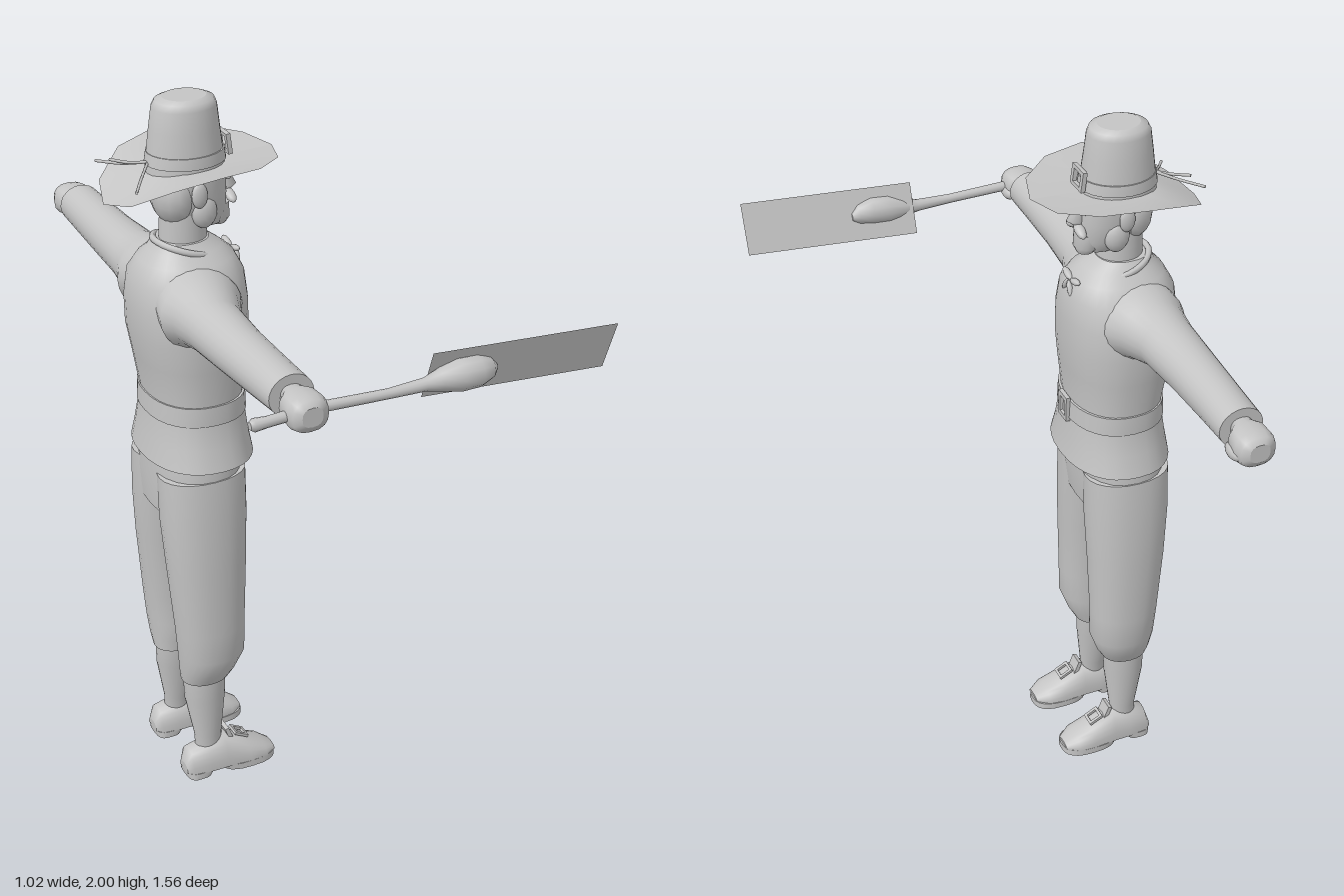
import * as THREE from 'three';

const grey = new THREE.MeshStandardMaterial({ color: 0xc4c4c4 });
grey.name = 'plain grey';
const greyThin = grey;
greyThin.side = THREE.DoubleSide;

// Loft of closed rings along an axis. Row: [w, uMin, uMax, vMin, vMax],
// with (u, v, w) = (z, x, y), (x, y, z) or (y, z, x). p < 1 squares the ring, flat gives a D-shape.
const ORDER = { y: [2, 0, 1], z: [0, 1, 2], x: [1, 2, 0] };
function loft(axis, rows, { n = 24, p = 1, flat = false } = {}) {
  const [iu, iv, iw] = ORDER[axis];
  const pos = [], index = [];
  const put = (u, v, w) => {
    const a = [0, 0, 0];
    a[iu] = u; a[iv] = v; a[iw] = w;
    pos.push(...a);
  };
  const pw = (t) => Math.sign(t) * Math.abs(t) ** p;
  const ring = ([w, u0, u1, v0, v1]) => {
    for (let i = 0; i < n; i++) {
      const t = (i / n) * Math.PI * 2, c = pw(Math.cos(t)), s = pw(Math.sin(t));
      const u = flat ? u0 + (u1 - u0) * Math.max(0, c) : (u0 + u1) / 2 + ((u1 - u0) / 2) * c;
      put(u, (v0 + v1) / 2 + ((v1 - v0) / 2) * s, w);
    }
  };
  rows.forEach(ring);
  for (let j = 0; j < rows.length - 1; j++)
    for (let i = 0; i < n; i++) {
      const a = j * n + i, b = j * n + (i + 1) % n;
      index.push(a, b, b + n, a, b + n, a + n);
    }
  // End caps keep their own vertices, so their rims stay sharp
  [rows[0], rows[rows.length - 1]].forEach((r, end) => {
    const base = pos.length / 3;
    ring(r);
    put((r[1] + r[2]) / 2, (r[3] + r[4]) / 2, r[0]);
    for (let i = 0; i < n; i++) {
      const a = base + i, b = base + (i + 1) % n;
      if (end) index.push(a, b, base + n); else index.push(b, a, base + n);
    }
  });
  const g = new THREE.BufferGeometry();
  g.setAttribute('position', new THREE.Float32BufferAttribute(pos, 3));
  g.setIndex(index);
  g.computeVertexNormals();
  return g;
}

// The same rows reflected in z
function mirrorRows(axis, rows) {
  if (axis === 'y') return rows.map(([w, a, b, c, d]) => [w, -b, -a, c, d]);
  if (axis === 'x') return rows.map(([w, a, b, c, d]) => [w, a, b, -d, -c]);
  return rows.map(([w, ...r]) => [-w, ...r]).reverse();
}

// Square buckle frame with a tongue, facing +x
function buckle(h, w, t) {
  const s = new THREE.Shape();
  s.moveTo(-w / 2, -h / 2).lineTo(w / 2, -h / 2).lineTo(w / 2, h / 2).lineTo(-w / 2, h / 2).closePath();
  const q = new THREE.Path(), a = w * 0.3, b = h * 0.32;
  q.moveTo(-a, -b).lineTo(-a, b).lineTo(a, b).lineTo(a, -b).closePath();
  s.holes.push(q);
  const g = new THREE.ExtrudeGeometry(s, { depth: t, bevelEnabled: false });
  return g.rotateY(Math.PI / 2);
}

export function createModel() {
  const model = new THREE.Group();
  const man = new THREE.Group();
  man.name = 'man';
  man.position.z = -0.015;
  model.add(man);

  const add = (name, geo, x = 0, y = 0, z = 0) => {
    const m = new THREE.Mesh(geo, grey);
    m.name = name;
    m.position.set(x, y, z);
    man.add(m);
    return m;
  };
  const ball = (name, x, y, z, rx, ry, rz) =>
    add(name, new THREE.SphereGeometry(1, 14, 10).scale(rx, ry, rz), x, y, z);
  const pair = (name, axis, rows, opt) => {
    add('left' + name, loft(axis, rows, opt));
    add('right' + name, loft(axis, mirrorRows(axis, rows), opt));
  };

  // Jacket, belt and collar
  add('jacket', loft('y', [
    [1.02, -0.198, 0.198, -0.44, -0.14], [1.08, -0.178, 0.178, -0.43, -0.15],
    [1.15, -0.162, 0.162, -0.42, -0.157], [1.2, -0.16, 0.16, -0.418, -0.162],
    [1.3, -0.168, 0.168, -0.435, -0.15], [1.38, -0.174, 0.174, -0.45, -0.142],
    [1.46, -0.17, 0.17, -0.452, -0.142], [1.53, -0.15, 0.15, -0.445, -0.148],
    [1.575, -0.115, 0.115, -0.42, -0.17], [1.6, -0.085, 0.085, -0.395, -0.2],
    [1.625, -0.066, 0.066, -0.38, -0.235],
  ], { n: 32, p: 0.88 }));
  add('belt', loft('y', [
    [1.145, -0.167, 0.167, -0.424, -0.153], [1.2, -0.165, 0.165, -0.422, -0.155],
  ], { n: 32, p: 0.88 }));
  add('beltBuckle', buckle(0.075, 0.052, 0.012), -0.157, 1.172, 0);
  const collar = add('collar', new THREE.TorusGeometry(1, 0.1, 8, 28).rotateX(Math.PI / 2).scale(0.088, 0.09, 0.082), -0.295, 1.6, 0);
  collar.rotation.z = -0.3;
  for (const s of [1, -1]) {
    const loop = ball('bowLoop', -0.165, 1.572, s * 0.024, 0.01, 0.009, 0.026);
    loop.rotation.x = -s * 0.25;
    const tail = ball('bowTail', -0.155, 1.548, s * 0.014, 0.008, 0.024, 0.007);
    tail.rotation.x = -s * 0.5;
  }

  // Arms and hands
  pair('Sleeve', 'z', [
    [0.07, -0.42, -0.2, 1.4, 1.583], [0.14, -0.43, -0.2, 1.365, 1.572], [0.18, -0.415, -0.222, 1.388, 1.56],
    [0.25, -0.406, -0.25, 1.402, 1.547], [0.4, -0.398, -0.262, 1.408, 1.54],
    [0.55, -0.39, -0.265, 1.414, 1.535], [0.663, -0.385, -0.265, 1.42, 1.53],
  ]);
  pair('Hand', 'z', [
    [0.64, -0.355, -0.295, 1.445, 1.505], [0.672, -0.355, -0.295, 1.445, 1.505],
    [0.695, -0.375, -0.272, 1.427, 1.51], [0.735, -0.377, -0.268, 1.418, 1.51],
    [0.757, -0.37, -0.275, 1.422, 1.505], [0.768, -0.35, -0.295, 1.44, 1.49],
  ], { n: 16, p: 0.8 });
  for (const s of [1, -1]) ball('thumb', -0.28, 1.45, s * 0.715, 0.018, 0.02, 0.036);

  // Breeches, stockings and shoes
  add('hips', loft('y', [
    [0.86, -0.16, 0.16, -0.42, -0.19], [0.95, -0.178, 0.178, -0.425, -0.178], [1.06, -0.16, 0.16, -0.42, -0.175],
  ], { p: 0.85 }));
  pair('Breeches', 'y', [
    [0.315, 0.04, 0.152, -0.38, -0.245], [0.35, 0.036, 0.17, -0.385, -0.225], [0.41, 0.026, 0.194, -0.39, -0.202],
    [0.5, 0.03, 0.194, -0.398, -0.2], [0.7, 0.015, 0.194, -0.415, -0.19],
    [0.85, 0, 0.188, -0.425, -0.182], [0.98, -0.005, 0.176, -0.425, -0.18],
  ], { p: 0.92 });
  pair('Stocking', 'y', [
    [0.05, 0.08, 0.138, -0.35, -0.27], [0.12, 0.076, 0.138, -0.35, -0.27],
    [0.25, 0.05, 0.147, -0.373, -0.254], [0.34, 0.045, 0.147, -0.375, -0.25],
  ]);
  pair('Shoe', 'x', [
    [-0.39, 0.018, 0.04, 0.085, 0.14], [-0.375, 0.018, 0.085, 0.066, 0.156], [-0.32, 0.018, 0.098, 0.06, 0.162],
    [-0.27, 0.018, 0.112, 0.06, 0.163], [-0.2, 0.018, 0.078, 0.054, 0.17],
    [-0.15, 0.018, 0.055, 0.06, 0.167], [-0.115, 0.018, 0.03, 0.085, 0.145],
  ], { flat: true, p: 0.85 });
  pair('Sole', 'y', [[0, 0.054, 0.17, -0.28, -0.11], [0.02, 0.054, 0.17, -0.29, -0.11]], { p: 0.75 });
  pair('Heel', 'y', [[0, 0.062, 0.16, -0.388, -0.315], [0.02, 0.062, 0.16, -0.39, -0.3]], { p: 0.6 });
  for (const s of [1, -1]) {
    const b = add('shoeBuckle', buckle(0.045, 0.045, 0.008), -0.217, 0.09, s * 0.112);
    b.rotation.z = 1.08;
    const t = add('shoeTongue', new THREE.BoxGeometry(0.012, 0.05, 0.045), -0.252, 0.105, s * 0.11);
    t.rotation.z = 0.35;
  }

  // Neck, head and face
  add('neck', loft('y', [[1.58, -0.06, 0.06, -0.365, -0.235], [1.72, -0.056, 0.056, -0.36, -0.24]]));
  add('head', loft('y', [
    [1.655, -0.04, 0.04, -0.29, -0.195], [1.69, -0.062, 0.062, -0.335, -0.184], [1.74, -0.072, 0.072, -0.365, -0.182],
    [1.79, -0.076, 0.076, -0.375, -0.184], [1.85, -0.075, 0.075, -0.375, -0.19],
  ], { p: 0.9 }));
  add('goatee', loft('y', [
    [1.645, -0.022, 0.022, -0.225, -0.18], [1.665, -0.04, 0.04, -0.245, -0.17], [1.705, -0.042, 0.042, -0.25, -0.172],
  ], { n: 14 }));
  add('nose', loft('y', [
    [1.73, -0.014, 0.014, -0.2, -0.166], [1.743, -0.018, 0.018, -0.2, -0.148], [1.795, -0.009, 0.009, -0.2, -0.176],
  ], { n: 10 }));
  for (const s of [1, -1]) {
    const m = ball('moustache', -0.176, 1.722, s * 0.023, 0.014, 0.012, 0.03);
    m.rotation.x = s * 0.35;
    ball('ear', -0.285, 1.757, s * 0.077, 0.022, 0.034, 0.012);
    ball('sideburn', -0.265, 1.705, s * 0.058, 0.035, 0.045, 0.024);
    ball('brow', -0.186, 1.797, s * 0.033, 0.012, 0.009, 0.026);
    ball('eye', -0.186, 1.777, s * 0.03, 0.008, 0.008, 0.013);
  }
  ball('hair', -0.325, 1.75, 0, 0.06, 0.085, 0.076);

  // Hat: crown, drooping brim with raised sides, band, buckle and feathers
  add('hatCrown', loft('y', [
    [1.8, -0.09, 0.09, -0.395, -0.185], [1.84, -0.088, 0.088, -0.392, -0.187], [1.92, -0.079, 0.079, -0.382, -0.197],
    [1.975, -0.073, 0.073, -0.374, -0.203], [1.992, -0.066, 0.066, -0.365, -0.21], [2, -0.05, 0.05, -0.345, -0.23],
  ]));
  add('hatBand', loft('y', [[1.832, -0.092, 0.092, -0.396, -0.182], [1.862, -0.089, 0.089, -0.391, -0.186]]));
  const brim = new THREE.RingGeometry(0.34, 1, 12, 4);
  const bp = brim.attributes.position;
  for (let i = 0; i < bp.count; i++) {
    const x = bp.getX(i), z = -bp.getY(i), r = Math.hypot(x, z), c = x / r;
    const edge = 1.848 + (c > 0 ? -0.02 : -0.1) * c * c, k = (r - 0.34) / 0.66;
    bp.setXYZ(i, -0.28 + x * 0.235, 1.822 + (edge - 1.822) * k ** 1.25, z * 0.205);
  }
  brim.computeVertexNormals();
  add('hatBrim', brim);
  const hb = add('hatBuckle', buckle(0.055, 0.068, 0.012), -0.186, 1.862, 0);
  hb.rotation.z = 0.12;
  for (const [x, y, z] of [[-0.49, 1.825, -0.105], [-0.465, 1.805, 0.1], [-0.47, 1.84, -0.06]]) {
    const path = new THREE.CatmullRomCurve3([
      new THREE.Vector3(-0.39, 1.84, 0),
      new THREE.Vector3((x - 0.39) / 2, (y + 1.84) / 2 - 0.004, z * 0.45),
      new THREE.Vector3(x, y, z),
    ]);
    add('feather', new THREE.TubeGeometry(path, 8, 0.004, 5));
  }

  // Long tool: shaft swelling into a knob, with a flat slanted blade
  const shaft = [
    [-0.465, 1.457, 0.725, 0.01], [-0.455, 1.457, 0.725, 0.017], [-0.42, 1.458, 0.726, 0.014],
    [-0.3, 1.465, 0.727, 0.014], [-0.1, 1.457, 0.729, 0.013], [0, 1.457, 0.727, 0.017], [0.04, 1.46, 0.728, 0.028],
    [0.09, 1.465, 0.732, 0.042], [0.14, 1.466, 0.735, 0.041], [0.18, 1.464, 0.73, 0.028], [0.2, 1.46, 0.725, 0.01],
  ];
  add('toolShaft', loft('x', shaft.map(([x, y, z, r]) => [x, y - r, y + r, z - r, z + r]), { n: 12 }));
  const blade = new THREE.PlaneGeometry(0.487, 0.14);
  const q = blade.attributes.position;
  for (let i = 0; i < q.count; i++)
    q.setZ(i, q.getX(i) * 0.125 + q.getY(i) * 0.36);
  blade.computeVertexNormals();
  add('toolBlade', blade, 0.264, 1.465, 0.733);

  return model;
}
